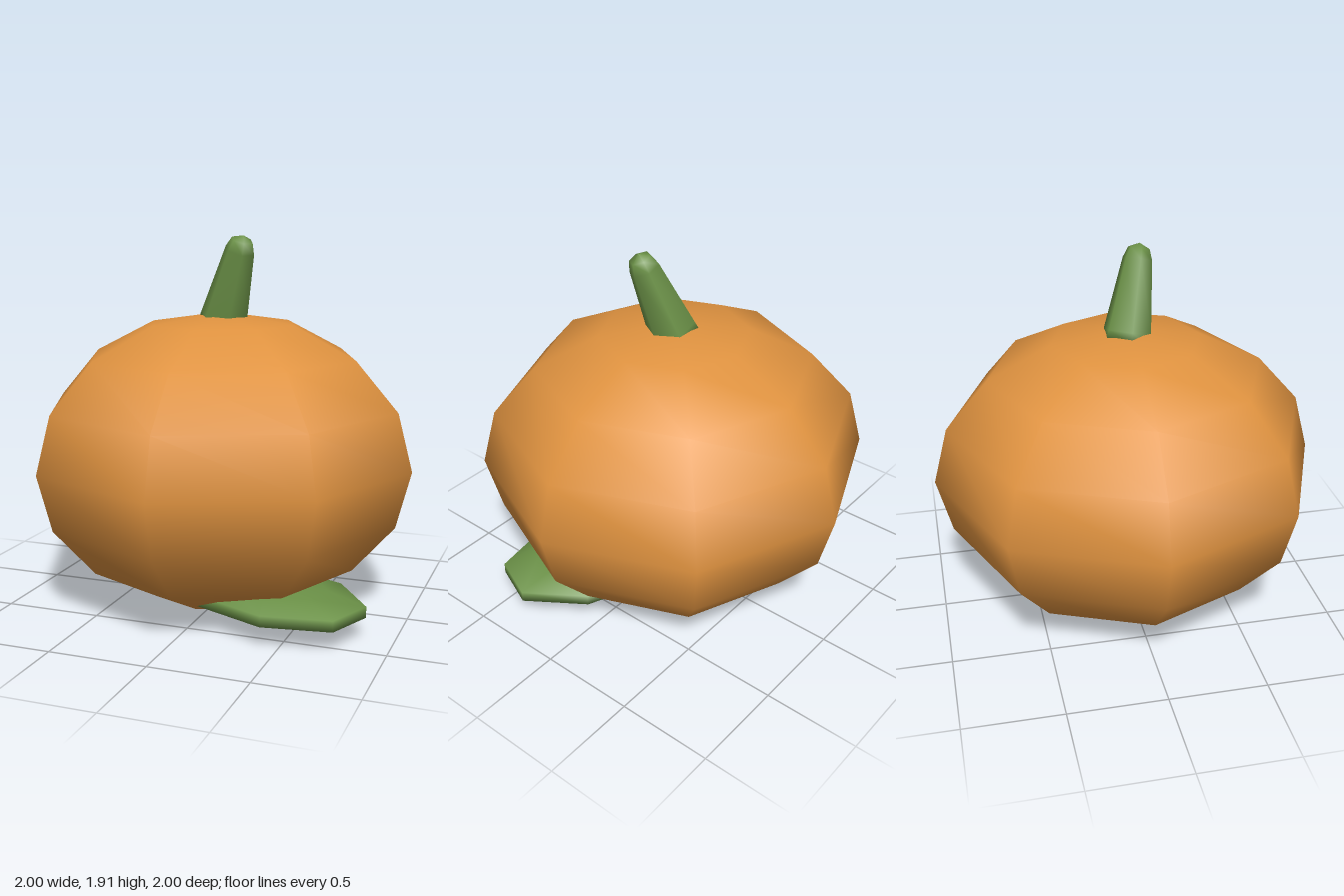
import * as THREE from 'three';

const orange = new THREE.MeshStandardMaterial({ color: 0xe09340 });
orange.name = 'pumpkinOrange';
const green = new THREE.MeshStandardMaterial({ color: 0x6b9147 });
green.name = 'stemGreen';

function part(name, geometry, material) {
  const mesh = new THREE.Mesh(geometry, material);
  mesh.name = name;
  return mesh;
}

export function createModel() {
  const group = new THREE.Group();
  group.name = 'pumpkin';

  // Squashed eight-sided body
  const bodyGeometry = new THREE.SphereGeometry(1, 8, 8);
  bodyGeometry.scale(1, 0.763, 1);
  const body = part('body', bodyGeometry, orange);
  body.position.y = 0.763;
  group.add(body);

  // Leaning six-sided stem with a rounded tip
  const profile = [
    [0, -0.08], [0.133, -0.06], [0.125, 0], [0.077, 0.365], [0.056, 0.42], [0, 0.445],
  ].map(([r, y]) => new THREE.Vector2(r, y));
  const stem = part('stem', new THREE.LatheGeometry(profile, 6, Math.PI / 2), green);
  stem.position.set(0.015, 1.5, 0.01);
  stem.quaternion.setFromUnitVectors(
    new THREE.Vector3(0, 1, 0),
    new THREE.Vector3(0.11, 0.34, 0.075).normalize(),
  );
  group.add(stem);

  // Flat slanted leaf tucked under the body
  const leafGeometry = new THREE.SphereGeometry(1, 8, 5);
  leafGeometry.applyMatrix4(new THREE.Matrix4().makeBasis(
    new THREE.Vector3(0.43, 0, 0.335),
    new THREE.Vector3(0, 0.09, 0),
    new THREE.Vector3(-0.33, 0, 0.22),
  ));
  leafGeometry.computeVertexNormals();
  const leaf = part('leaf', leafGeometry, green);
  leaf.position.set(0.35, 0.136, 0.255);
  group.add(leaf);

  return group;
}
